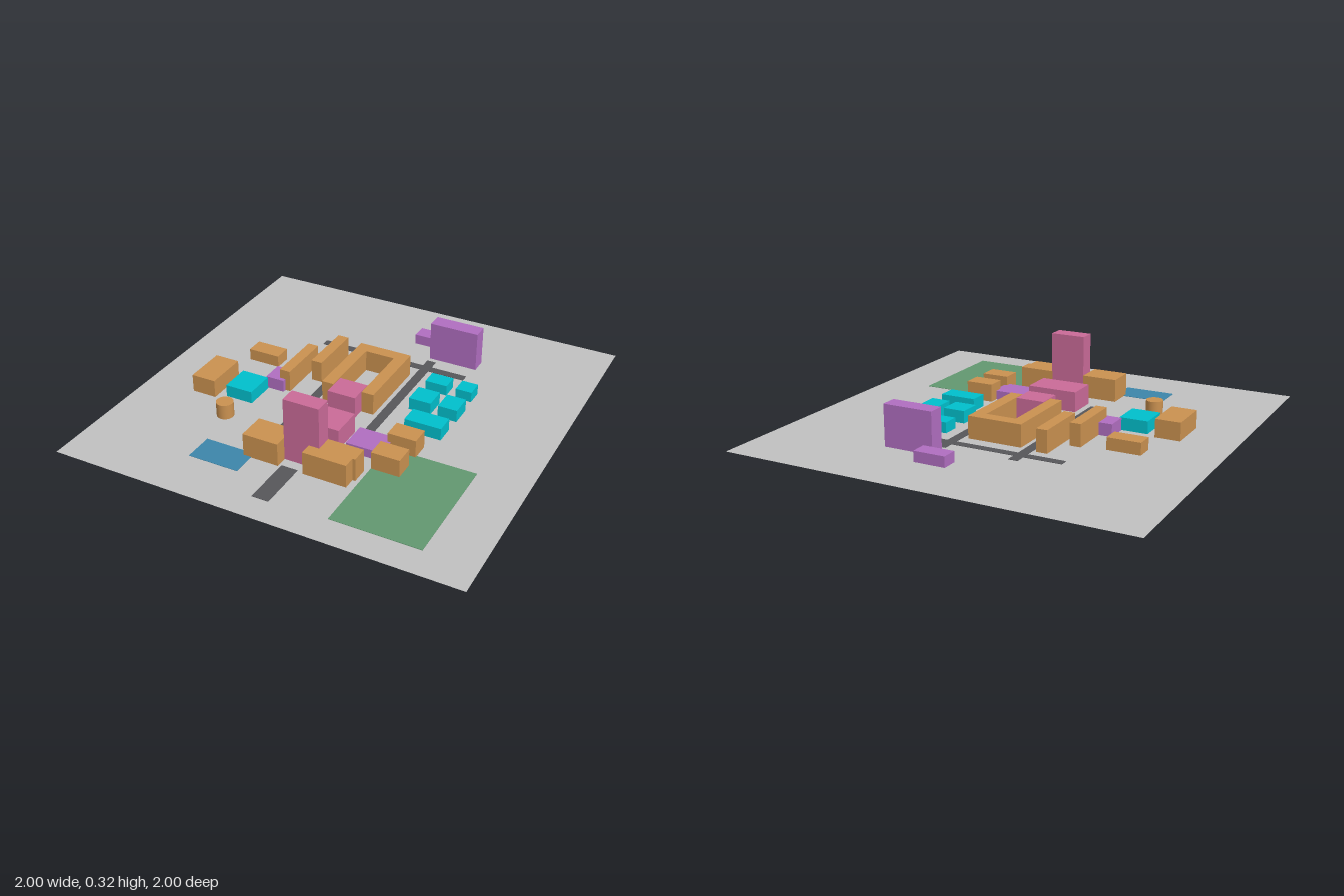
import * as THREE from 'three';

function material(name, color, side = THREE.FrontSide) {
  const m = new THREE.MeshStandardMaterial({ color, side });
  m.name = name;
  return m;
}

export function createModel() {
  const model = new THREE.Group();
  model.name = 'campusSitePlan';

  const ground = material('ground grey', 0xc0c0c0, THREE.DoubleSide);
  const road = material('road grey', 0x56565a);
  const grass = material('field green', 0x629870);
  const water = material('pool blue', 0x3d86aa);
  const orange = material('hall orange', 0xca9150);
  const pink = material('centre pink', 0xca6b98);
  const purple = material('annex purple', 0xb06ec0);
  const cyan = material('housing cyan', 0x00bfcc);

  const add = (name, geometry, mat) => {
    const mesh = new THREE.Mesh(geometry, mat);
    mesh.name = name;
    model.add(mesh);
    return mesh;
  };

  // Box given by its plan extents and height
  const block = (name, mat, [x0, x1, z0, z1, h], base = 0) =>
    add(name, new THREE.BoxGeometry(x1 - x0, h, z1 - z0), mat)
      .position.set((x0 + x1) / 2, base + h / 2, (z0 + z1) / 2);

  // Building from a plan outline of [x, z] corners
  const outline = (name, mat, points, h) => {
    const shape = new THREE.Shape(points.map(([x, z]) => new THREE.Vector2(x, -z)));
    const geometry = new THREE.ExtrudeGeometry(shape, { depth: h, bevelEnabled: false });
    add(name, geometry.rotateX(-Math.PI / 2), mat);
  };

  // Site sheet
  add('ground', new THREE.PlaneGeometry(2, 2).rotateX(-Math.PI / 2), ground);

  // Thin surface patches; the cross road lies slightly lower than the long roads
  const T = 0.002;
  block('leftRoad', road, [-0.21, -0.163, -0.505, 0.355, T], 0.001);
  block('rightRoad', road, [0.158, 0.205, -0.505, 0.355, T], 0.001);
  block('crossRoad', road, [-0.398, 0.394, -0.452, -0.41, T], 0.0005);
  block('entranceRoad', road, [-0.043, 0.04, 0.623, 0.873, T], 0.001);
  block('sportsField', grass, [0.32, 0.752, 0.282, 0.858, T], 0.001);
  block('pool', water, [-0.45, -0.195, 0.602, 0.75, T], 0.001);

  // Central courtyard hall, open to the front
  outline('courtyardHall', orange, [
    [-0.14, 0.07], [-0.08, 0.07], [-0.08, -0.28], [0.073, -0.28],
    [0.073, 0.07], [0.135, 0.07], [0.135, -0.343], [-0.14, -0.343],
  ], 0.11);

  // Front wings on either side of the tower
  block('leftFrontWing', orange, [-0.235, -0.056, 0.49, 0.632, 0.115]);
  outline('rightFrontWing', orange, [
    [0.07, 0.632], [0.286, 0.632], [0.286, 0.572], [0.3, 0.572],
    [0.3, 0.49], [0.12, 0.49], [0.12, 0.572], [0.07, 0.572],
  ], 0.115);

  // Other halls
  [
    [-0.28, -0.224, -0.36, -0.076, 0.11],
    [-0.375, -0.32, -0.215, 0.07, 0.11],
    [-0.656, -0.49, -0.19, -0.102, 0.06],
    [-0.743, -0.617, 0.07, 0.284, 0.09],
    [0.32, 0.46, 0.2, 0.295, 0.09],
    [0.32, 0.46, 0.364, 0.462, 0.09],
  ].forEach((b, i) => block(`hall${i + 1}`, orange, b));

  add('roundHall', new THREE.CylinderGeometry(0.042, 0.042, 0.075, 32), orange)
    .position.set(-0.488, 0.0375, 0.391);

  // Tower and central buildings
  block('tower', pink, [-0.056, 0.123, 0.49, 0.572, 0.318]);
  block('library', pink, [-0.13, 0.125, 0.24, 0.397, 0.102]);
  block('courtyardPavilion', pink, [-0.075, 0.07, 0.004, 0.134, 0.11]);

  // Annexes
  block('rearSlab', purple, [0.158, 0.41, -0.615, -0.535, 0.203]);
  block('rearAnnex', purple, [0.027, 0.186, -0.722, -0.642, 0.052]);
  block('leftAnnex', purple, [-0.442, -0.346, -0.02, 0.09, 0.062]);
  block('rightAnnex', purple, [0.158, 0.336, 0.25, 0.39, 0.045]);

  // Housing
  [
    [0.263, 0.375, -0.33, -0.246, 0.053],
    [0.423, 0.505, -0.33, -0.246, 0.053],
    [0.263, 0.375, -0.166, -0.055, 0.062],
    [0.413, 0.51, -0.166, -0.055, 0.062],
    [0.32, 0.505, 0.022, 0.118, 0.062],
    [-0.572, -0.43, 0.096, 0.25, 0.062],
  ].forEach((b, i) => block(`house${i + 1}`, cyan, b));

  return model;
}
